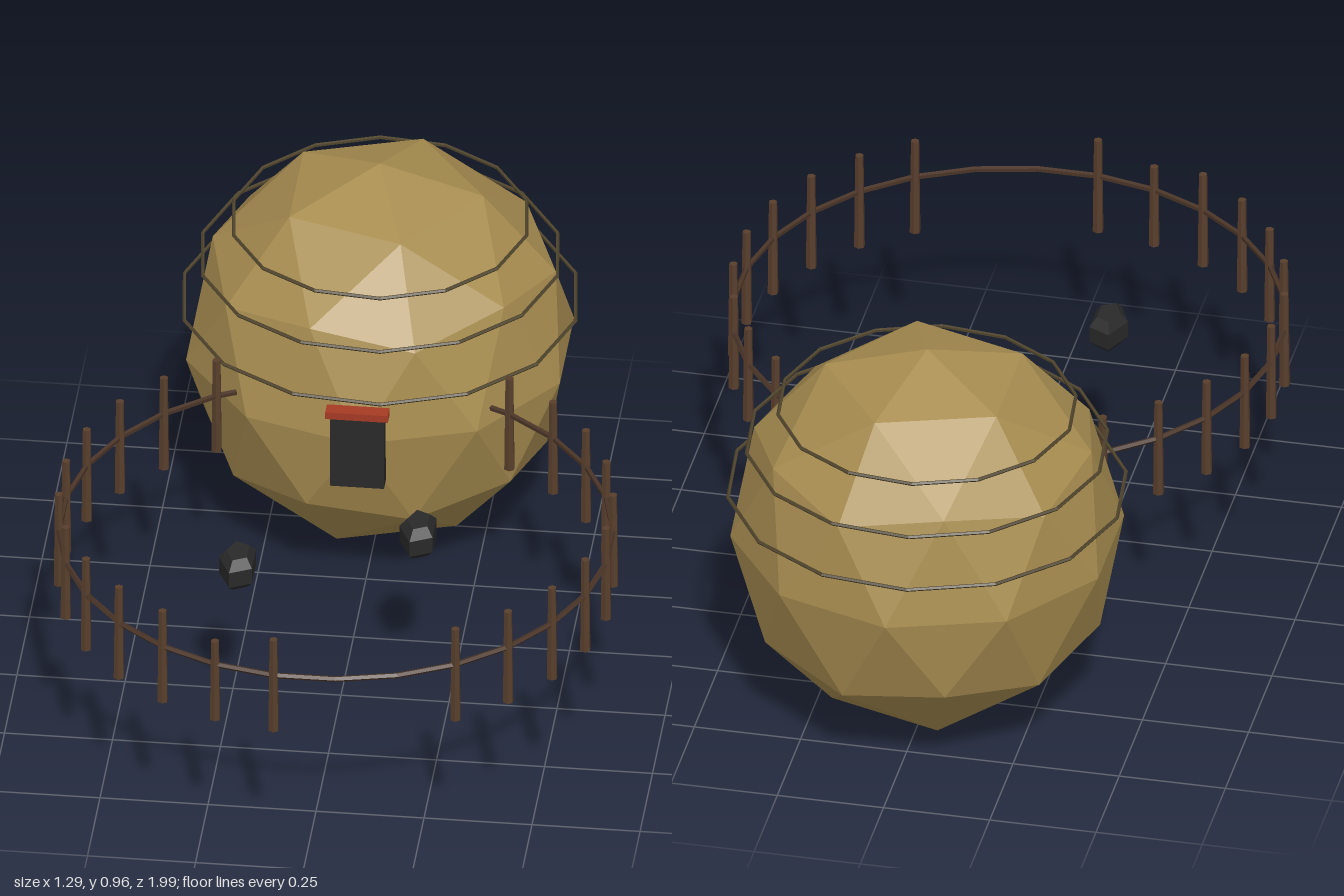
import * as THREE from 'three';

const paint = (name, color) => new THREE.MeshStandardMaterial({ name, color, flatShading: true });

export function createModel() {
  const straw = paint('straw', 0xa88d50);
  const rope = paint('rope', 0x4f442c);
  const wood = paint('wood', 0x583e2c);
  const darkWood = paint('darkWood', 0x4a3427);
  const charcoal = paint('charcoal', 0x292929);
  const red = paint('red', 0xa63a24);

  const model = new THREE.Group();
  model.name = 'roundHut';
  const add = (name, geometry, material, x, y, z, parent = model) => {
    const mesh = new THREE.Mesh(geometry, material);
    mesh.name = name;
    mesh.position.set(x, y, z);
    parent.add(mesh);
    return mesh;
  };

  // Faceted hut body, turned so that a corner points straight up
  const body = new THREE.IcosahedronGeometry(1, 1);
  body.rotateZ(-Math.atan(2 / (1 + Math.sqrt(5))));
  body.scale(0.455, 0.478, 0.455);
  add('hutBody', body, straw, 0, 0.482, -0.53);

  // Horizontal polygonal hoop
  const hoop = (radius, tube, sides, turn) => {
    const g = new THREE.TorusGeometry(radius, tube, 5, sides);
    g.rotateZ(turn);
    g.rotateX(-Math.PI / 2);
    return g;
  };

  // Ropes around the hut
  for (const [y, r] of [[0.595, 0.461], [0.711, 0.418], [0.81, 0.345]]) {
    add('rope', hoop(r, 0.0045, 14, -0.11), rope, 0, y, -0.532);
  }

  // Door and lintel
  add('door', new THREE.BoxGeometry(0.125, 0.184, 0.045), charcoal, 0, 0.461, -0.091);
  add('lintel', new THREE.BoxGeometry(0.145, 0.018, 0.035), red, 0, 0.564, -0.078);

  // Ring fence, open at the gate and where it meets the hut
  const fence = new THREE.Group();
  fence.name = 'fence';
  fence.position.set(0, 0, 0.35);
  model.add(fence);
  const count = 28, radius = 0.637, step = (Math.PI * 2) / count;
  add('fenceRail', hoop(radius, 0.007, count, step / 2), darkWood, 0, 0.517, 0, fence);
  for (let i = 0; i < count; i++) {
    const a = (i + 0.5) * step;
    const x = Math.cos(a) * radius, z = Math.sin(a) * radius;
    const gate = z > 0.58 && x > 0;
    const inHut = z < -0.58;
    if (gate || inHut) continue;
    const h = i === 8 ? 0.212 : 0.246;
    add('fencePost', new THREE.CylinderGeometry(0.01, 0.013, h, 6), wood, x, 0.369 + h / 2, z, fence);
  }

  // Five-sided stones in the yard
  const profile = [[0, -0.04], [0.62, -0.04], [1, -0.02], [1, 0.02], [0.62, 0.04], [0, 0.04]];
  const stone = new THREE.LatheGeometry(profile.map(([r, y]) => new THREE.Vector2(r, y)), 5);
  stone.rotateY(-Math.PI / 2);
  stone.scale(0.045, 1, 0.071);
  add('stone', stone, charcoal, -0.216, 0.46, 0.437);
  add('stone', stone, charcoal, 0.181, 0.46, 0.257);

  return model;
}
